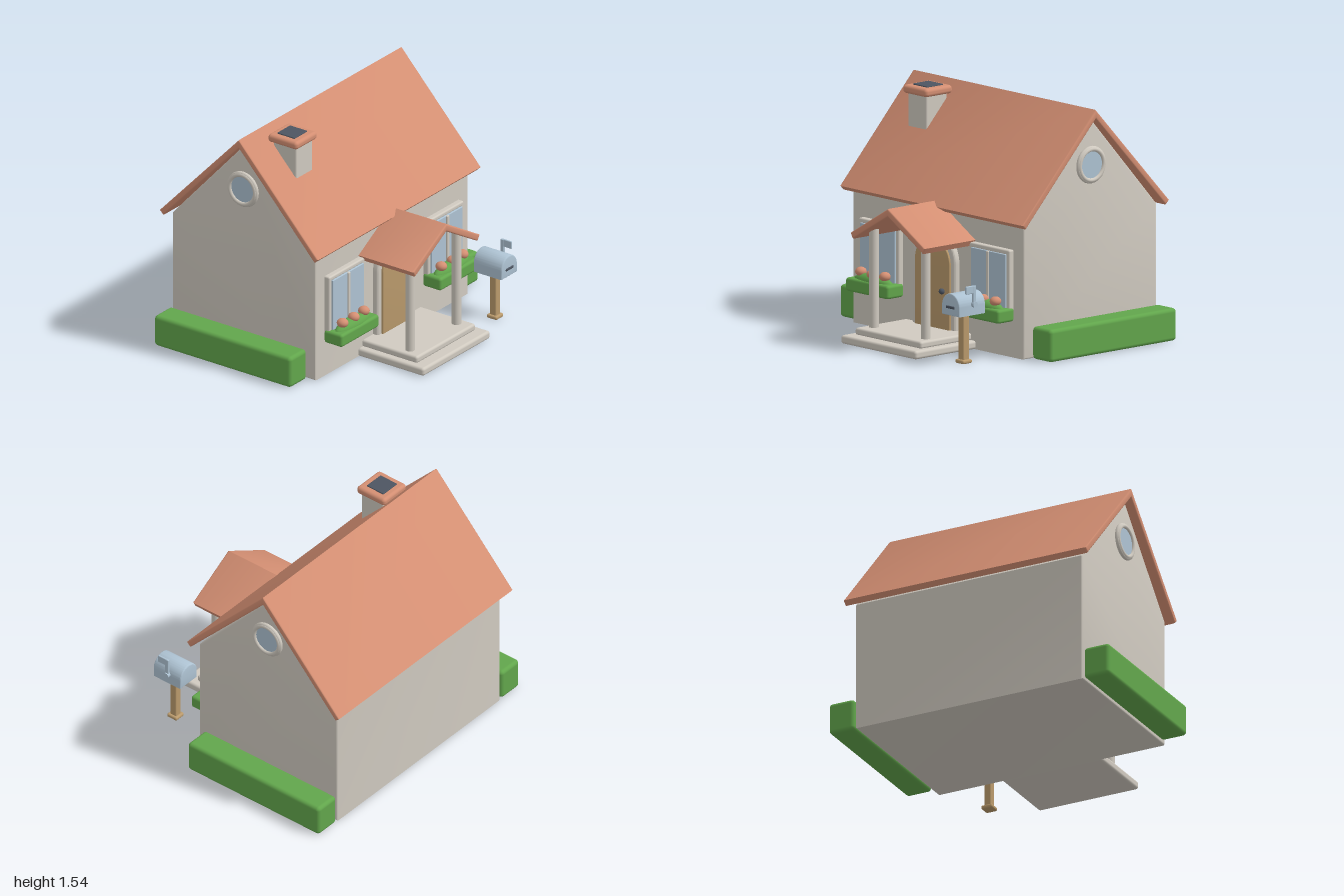
import * as THREE from 'three';
import { toCreasedNormals } from 'three/addons/utils/BufferGeometryUtils.js';
import { RoundedBoxGeometry } from 'three/addons/geometries/RoundedBoxGeometry.js';

const paint = (name, color) => {
  const m = new THREE.MeshStandardMaterial({ color });
  m.name = name;
  return m;
};

export function createModel() {
  const stone = paint('warm stone', 0xd0cac0);
  const clay = paint('clay tile', 0xd48f73);
  const leaf = paint('leaf green', 0x62a64c);
  const wood = paint('light wood', 0xba9a6c);
  const blue = paint('pale blue', 0xaec3d3);
  const dark = paint('dark slate', 0x4d5561);

  const model = new THREE.Group();
  model.name = 'cottage';

  const add = (name, geo, mat, x = 0, y = 0, z = 0, parent = model) => {
    const m = new THREE.Mesh(geo, mat);
    m.name = name;
    m.position.set(x, y, z);
    parent.add(m);
    return m;
  };
  // Rounded box given by its limits on each axis
  const box = (name, mat, [x0, x1], [y0, y1], [z0, z1], r = 0.012, parent = model) =>
    add(name, new RoundedBoxGeometry(x1 - x0, y1 - y0, z1 - z0, 3, r), mat,
      (x0 + x1) / 2, (y0 + y1) / 2, (z0 + z1) / 2, parent);
  const group = (name) => {
    const g = new THREE.Group();
    g.name = name;
    model.add(g);
    return g;
  };
  // Extrusion from z = 0 to z = depth, edges bevelled inwards
  const extrude = (shape, depth, bevel) => {
    const g = new THREE.ExtrudeGeometry(shape, {
      depth: depth - 2 * bevel, bevelEnabled: true, bevelThickness: bevel, bevelSize: bevel,
      bevelOffset: -bevel, bevelSegments: 3, curveSegments: 20,
    });
    return toCreasedNormals(g.translate(0, 0, bevel), 0.6);
  };
  const polygon = (pts) => new THREE.Shape(pts.map(([x, y]) => new THREE.Vector2(x, y)));
  // Pitched roof section: two slabs mitred at the ridge, eaves cut square
  const chevron = (w, top, eave, t) => {
    const a = Math.atan2(top - eave, w);
    const ix = w - t * Math.sin(a), iy = eave - t * Math.cos(a);
    return polygon([[0, top], [-w, eave], [-ix, iy], [0, top - t / Math.cos(a)], [ix, iy], [w, eave]]);
  };
  // Round-headed outline standing on y = base
  const arch = (Type, r, base, spring) => {
    const s = new Type();
    s.moveTo(-r, base);
    s.lineTo(r, base);
    s.lineTo(r, spring);
    s.absarc(0, spring, r, 0, Math.PI, false);
    s.closePath();
    return s;
  };

  // House body with gables, and main roof
  const midZ = -0.225;
  const walls = polygon([[-0.565, 0], [0.565, 0], [0.565, 0.86], [0, 1.487], [-0.565, 0.86]]);
  add('walls', extrude(walls, 1.62, 0.012).translate(0, 0, -0.81).rotateY(Math.PI / 2), stone, 0, 0, midZ);
  add('mainRoof', extrude(chevron(0.625, 1.545, 0.88, 0.04), 1.732, 0.01)
    .translate(0, 0, -0.866).rotateY(Math.PI / 2), clay, 0, 0, midZ);

  // Chimney
  box('chimneyStack', stone, [-0.617, -0.44], [1.15, 1.49], [-0.135, 0.045]);
  box('chimneyCap', clay, [-0.645, -0.417], [1.468, 1.522], [-0.163, 0.068], 0.022);
  box('chimneyFlue', dark, [-0.6, -0.463], [1.49, 1.529], [-0.118, 0.018], 0.004);

  // Round gable windows and side hedges
  for (const s of [1, -1]) {
    const w = group(s > 0 ? 'leftGableWindow' : 'rightGableWindow');
    w.position.set(s * 0.81, 1.185, midZ);
    w.rotation.y = s * Math.PI / 2;
    add('ringFrame', new THREE.TorusGeometry(0.106, 0.015, 12, 48), stone, 0, 0, 0.008, w);
    add('ringBase', new THREE.TorusGeometry(0.1, 0.014, 12, 48), stone, 0, 0, 0.014, w);
    add('roundGlass', new THREE.CylinderGeometry(0.096, 0.096, 0.03, 40).rotateX(Math.PI / 2), blue, 0, 0, 0, w);
    const x = s * 0.91;
    box('hedge', leaf, [x - 0.09, x + 0.09], [0, 0.21], [-0.795, 0.283], 0.025);
  }

  // Front windows with flower boxes
  for (const s of [1, -1]) {
    const w = group(s > 0 ? 'leftWindow' : 'rightWindow');
    w.position.x = s * 0.523;
    for (const e of [1, -1]) {
      box('frameSide', stone, [e * 0.174 - 0.016, e * 0.174 + 0.016], [0.29, 0.695], [0.32, 0.378], 0.011, w);
    }
    for (const y of [0.29, 0.663]) {
      box('frameRail', stone, [-0.19, 0.19], [y, y + 0.032], [0.32, 0.378], 0.011, w);
    }
    box('glass', blue, [-0.164, 0.164], [0.31, 0.667], [0.33, 0.388], 0.004, w);
    box('mullion', stone, [-0.012, 0.012], [0.31, 0.667], [0.34, 0.398], 0.006, w);
    box('flowerBox', leaf, [-0.2, 0.2], [0.235, 0.322], [0.34, 0.483], 0.018, w);
    add('foliage', new THREE.SphereGeometry(1, 28, 16).scale(0.175, 0.055, 0.055), leaf, 0, 0.31, 0.42, w);
    for (const x of [-0.113, 0, 0.113]) {
      add('flower', new THREE.SphereGeometry(1, 20, 14).scale(0.036, 0.03, 0.038), clay,
        x, 0.365, x ? 0.425 : 0.43, w);
    }
  }

  // Arched front door
  const frame = arch(THREE.Shape, 0.201, 0.09, 0.525);
  frame.holes.push(arch(THREE.Path, 0.158, 0.095, 0.52));
  add('doorFrame', extrude(frame, 0.06, 0.014), stone, 0, 0, 0.32);
  add('door', extrude(arch(THREE.Shape, 0.164, 0.095, 0.516), 0.07, 0.005), wood, 0, 0, 0.323);
  add('doorKnob', new THREE.SphereGeometry(0.019, 20, 14), dark, 0.105, 0.345, 0.405);

  // Porch
  box('lowerStep', stone, [-0.356, 0.356], [0, 0.055], [0.33, 0.853], 0.018);
  box('upperStep', stone, [-0.312, 0.312], [0.05, 0.098], [0.33, 0.77], 0.016);
  for (const s of [1, -1]) {
    add('porchColumn', new THREE.CylinderGeometry(0.031, 0.031, 0.65, 24), stone, s * 0.245, 0.41, 0.667);
  }
  add('porchRoof', extrude(chevron(0.353, 0.91, 0.705, 0.043), 0.465, 0.01), clay, 0, 0, 0.308);

  // Mailbox
  const mail = group('mailbox');
  mail.position.set(0.627, 0, 0.687);
  box('postFoot', wood, [-0.04, 0.04], [0, 0.026], [-0.04, 0.04], 0.011, mail);
  box('post', wood, [-0.025, 0.025], [0.01, 0.335], [-0.025, 0.025], 0.008, mail);
  add('mailboxBody', extrude(arch(THREE.Shape, 0.083, 0.32, 0.379), 0.224, 0.008), blue, 0, 0, -0.11, mail);
  box('mailboxHandle', dark, [-0.04, 0.04], [0.365, 0.383], [0.105, 0.12], 0.006, mail);
  box('flagPole', blue, [0.08, 0.098], [0.385, 0.512], [-0.02, 0.006], 0.005, mail);
  box('flag', blue, [0.083, 0.097], [0.462, 0.513], [-0.012, 0.065], 0.005, mail);
  add('flagPivot', new THREE.CylinderGeometry(0.019, 0.019, 0.03, 20).rotateZ(Math.PI / 2), blue,
    0.09, 0.39, -0.007, mail);

  return model;
}
